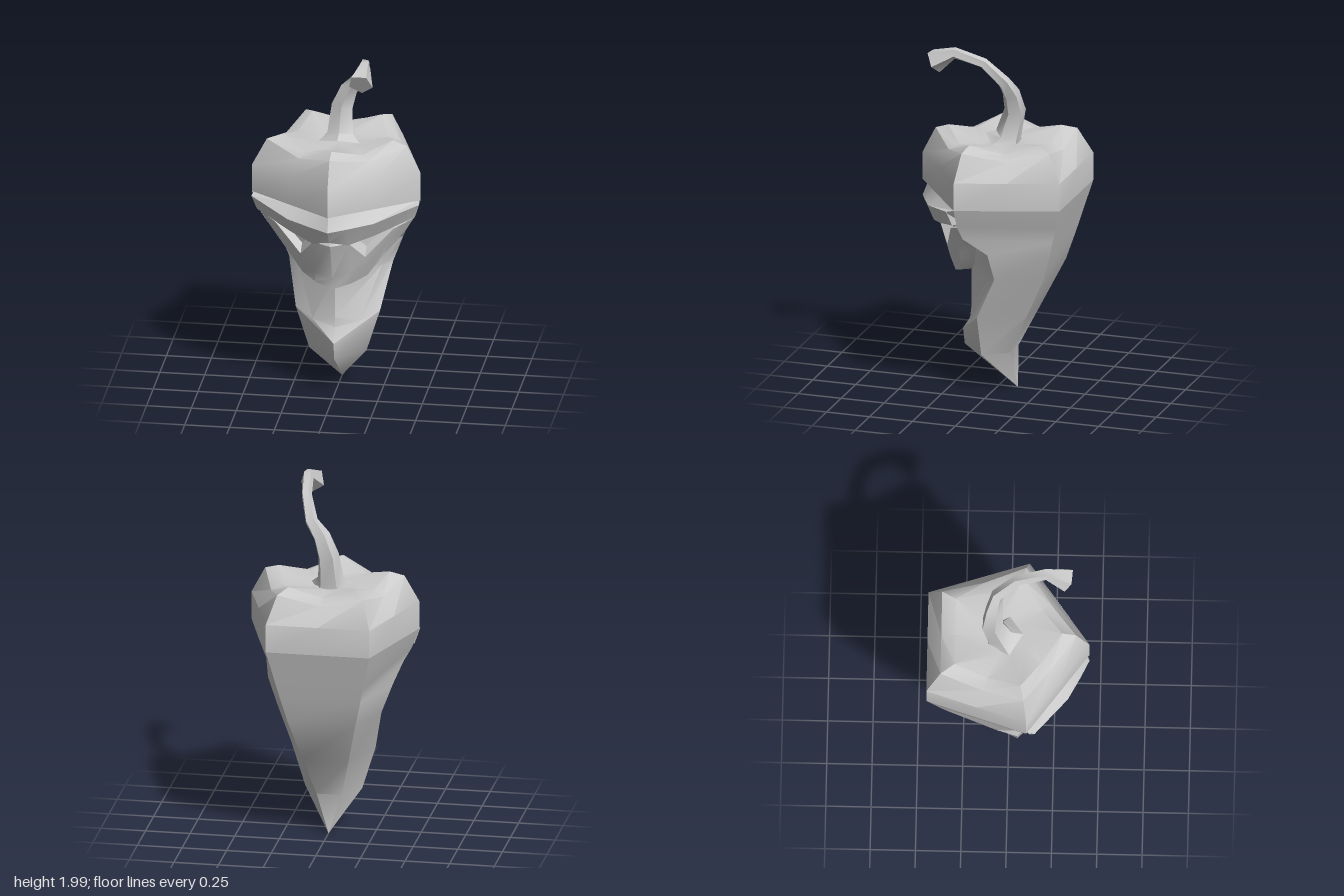
import * as THREE from 'three';
import { toCreasedNormals, mergeGeometries } from 'three/addons/utils/BufferGeometryUtils.js';

const material = new THREE.MeshStandardMaterial({ color: 0xcccccc, side: THREE.DoubleSide });
const flip = ([x, y, z]) => [-x, y, z];

// Half rows run from the middle of the front out to +x
const frontRow = (half) => [...half.slice(1).reverse().map(flip), ...half];
// Half rows run from the +x side round to the back
const backRow = (half) => [...half, ...[...half].reverse().map(flip)];

// Skin between rows of points: rows go down, columns run anticlockwise from above
function skin(rows) {
  const pos = [];
  for (let i = 0; i < rows.length - 1; i++) {
    for (let j = 0; j < rows[i].length - 1; j++) {
      const a = rows[i][j], b = rows[i + 1][j], c = rows[i + 1][j + 1], d = rows[i][j + 1];
      pos.push(...a, ...b, ...d, ...b, ...c, ...d);
    }
  }
  const g = new THREE.BufferGeometry();
  g.setAttribute('position', new THREE.Float32BufferAttribute(pos, 3));
  return g;
}

function part(name, crease, ...grids) {
  const mesh = new THREE.Mesh(toCreasedNormals(mergeGeometries(grids.map(skin)), crease), material);
  mesh.name = name;
  return mesh;
}

// Five-lobed crown: corners alternate with edge midpoints
function crown() {
  const corners = [[0, 0.445], [0.47, 0.105], [0.29, -0.45], [-0.29, -0.45], [-0.47, 0.105]];
  const ring = (scale, yCorner, yMid) => {
    const row = [];
    corners.forEach(([x, z], i) => {
      const [nx, nz] = corners[(i + 1) % 5];
      row.push([x * scale, yCorner, z * scale]);
      row.push([(x + nx) / 2 * scale, yMid, (z + nz) / 2 * scale]);
    });
    return [...row, row[0]];
  };
  return part('crown', 0.6, [
    ring(0, 1.43, 1.43), ring(0.28, 1.43, 1.42), ring(0.66, 1.485, 1.43), ring(0.83, 1.46, 1.41),
    ring(1, 1.31, 1.31), ring(1, 1.15, 1.15), ring(0, 1.15, 1.15),
  ]);
}

// Curved stem with a flared, cut end: x, y, z, radius
function stem() {
  const path = [
    [0, 1.41, -0.03, 0.12], [0, 1.46, -0.055, 0.075], [0.005, 1.61, -0.095, 0.062], [0.045, 1.72, -0.085, 0.05],
    [0.105, 1.8, -0.065, 0.037], [0.15, 1.915, 0.04, 0.03], [0.172, 1.965, 0.2, 0.033], [0.165, 1.905, 0.32, 0.07],
  ];
  const at = (i) => new THREE.Vector3(...path[Math.min(Math.max(i, 0), path.length - 1)].slice(0, 3));
  const up = new THREE.Vector3(0, 1, 0);
  const rows = path.map(([, , , r], i) => {
    const q = new THREE.Quaternion().setFromUnitVectors(up, at(i + 1).sub(at(i - 1)).normalize());
    return Array.from({ length: 6 }, (_, k) => {
      const a = (k % 5) / 5 * Math.PI * 2;
      return new THREE.Vector3(r * Math.sin(a), 0, r * Math.cos(a)).applyQuaternion(q).add(at(i)).toArray();
    });
  });
  rows.push(Array(6).fill(at(path.length - 1).toArray()));
  return part('stem', 0.8, rows.reverse());
}

export function createModel() {
  const group = new THREE.Group();
  const tip = [0, 0, -0.11];

  // Outer rim of the mouth, from its upper corner down to the lower lip
  const lip = [[0.385, 0.96, 0.08], [0.35, 0.87, -0.05], [0.29, 0.71, -0.07], [0.235, 0.46, 0.05], [0, 0.31, 0.21]];
  const jaw = [0.16, 0.22, 0.05];

  // Tapering body round the back, closed by the chin at the front
  const body = [
    [[0.47, 1.15, 0.105], [0.29, 1.15, -0.45]],
    [[0.43, 1.04, 0.1], [0.265, 1.04, -0.42]],
    [lip[0], [0.245, 0.95, -0.395]],
    [lip[1], [0.225, 0.86, -0.37]],
    [lip[2], [0.19, 0.71, -0.325]],
    [lip[3], [0.13, 0.46, -0.205]],
    [jaw, [0.07, 0.22, -0.09]],
    [tip, tip],
  ].map(backRow);
  const chin = [[lip[4], lip[3]], [[0, 0.22, 0.2], jaw], [tip, tip]].map(frontRow);
  group.add(part('body', 0.9, body, chin));

  // Mouth: bulging inner wall and the lip around it
  const inner = [[0.33, 0.95, 0.07], [0.28, 0.85, -0.01], [0.235, 0.7, -0.03], [0.13, 0.42, 0.125], [0, 0.39, 0.16]];
  const middle = [0.95, 0.85, 0.7, 0.45, 0.39];
  const wall = inner.map((p, i) => frontRow([[0, middle[i], 0.16], p]));
  const rim = inner.map((p, i) => [p, lip[i]]);
  const rimMirror = rim.map(([a, b]) => [flip(b), flip(a)]);
  group.add(part('mouth', 0.6, wall, rim, rimMirror));

  // Upper face: eye sockets, muzzle and underside of the upper lip
  group.add(part('muzzle', 0.5, [
    [[0, 1.06, 0.3], [0.11, 1.04, 0.26], [0.2, 1.04, 0.18], [0.31, 1.06, 0.12], [0.4, 1.08, 0.07]],
    [[0, 1.0, 0.32], [0.11, 0.98, 0.25], [0.18, 0.89, 0.18], [0.32, 1.02, 0.12], [0.4, 1.06, 0.08]],
    [[0, 0.94, 0.345], [0.1, 0.95, 0.31], [0.18, 0.85, 0.24], [0.33, 1.0, 0.17], [0.43, 1.04, 0.1]],
    [[0, 0.72, 0.255], [0.1, 0.755, 0.25], [0.185, 0.78, 0.205], [0.29, 0.9, 0.15], [0.405, 1.0, 0.09]],
    [[0, 0.65, 0.25], [0.1, 0.68, 0.22], [0.18, 0.71, 0.16], [0.27, 0.83, 0.14], [0.385, 0.96, 0.08]],
    [[0, 0.66, 0.15], [0.08, 0.7, 0.13], [0.13, 0.73, 0.1], [0.22, 0.86, 0.06], [0.33, 0.95, 0.05]],
  ].map(frontRow)));

  // Overhanging brow band
  group.add(part('brow', 0.5, [
    [[0, 1.15, 0.41], [0.1, 1.15, 0.345], [0.24, 1.15, 0.25], [0.46, 1.15, 0.1]],
    [[0, 1.06, 0.445], [0.1, 1.07, 0.4], [0.24, 1.085, 0.33], [0.468, 1.14, 0.15]],
    [[0, 0.98, 0.385], [0.1, 0.955, 0.345], [0.24, 0.99, 0.26], [0.44, 1.055, 0.125]],
    [[0, 1.01, 0.3], [0.1, 1.0, 0.27], [0.22, 1.02, 0.18], [0.4, 1.06, 0.07]],
  ].map(frontRow)));

  group.add(crown(), stem());
  return group;
}
